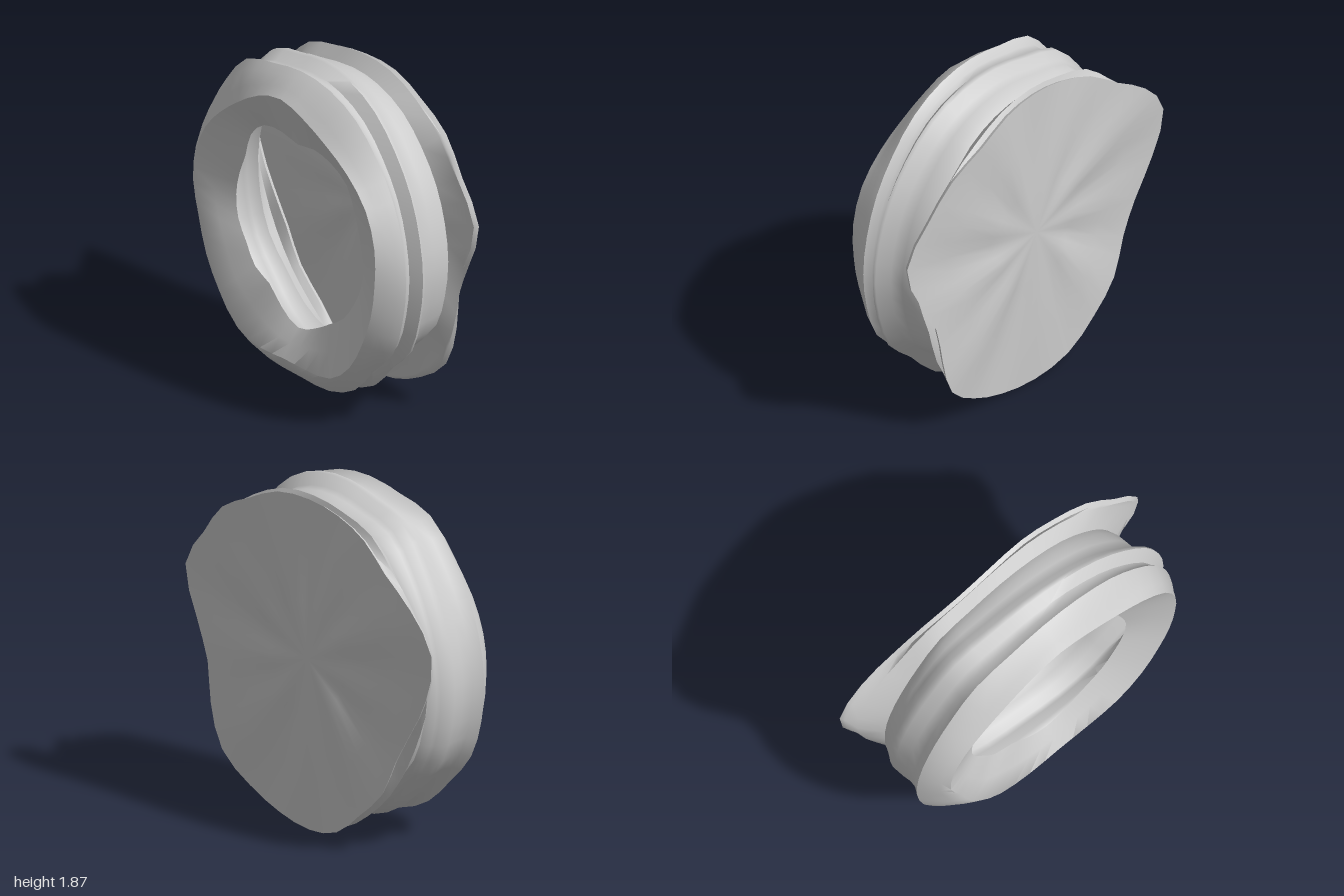
import * as THREE from 'three';
import { toCreasedNormals } from 'three/addons/utils/BufferGeometryUtils.js';

const SEGMENTS = 48;
const CENTRE_Y = 0.95;

// Outline radii every 15 degrees, counter-clockwise from +x
const FLANGE = [.90, 1.03, .97, .95, .90, .90, .88, .87, .88, .89, .97, 1.03, .93, .83, .80, .85, .87, .93, .95, .95, .95, .95, .87, .82];
const SHOULDER = [.88, .88, .89, .90, .92, .92, .91, .90, .93, .89, .87, .87, .88, .89, .90, .88, .90, .90, .88, .90, .90, .86, .89, .88];
const RIM = [.79, .82, .83, .80, .77, .77, .79, .76, .73, .73, .75, .76, .75, .71, .73, .77, .80, .77, .73, .75, .80, .80, .78, .78];
const LIP = [.55, .54, .55, .58, .56, .53, .49, .53, .57, .56, .51, .51, .52, .52, .50, .51, .48, .53, .58, .55, .53, .54, .54, .55];

// Smooth periodic lookup of an outline
function radius(outline, a) {
  const n = outline.length;
  const t = (a / (Math.PI * 2)) * n;
  const i = Math.floor(t), f = t - i;
  const p = k => outline[(i + k + n) % n];
  const [a0, b, c, d] = [p(-1), p(0), p(1), p(2)];
  return b + 0.5 * f * (c - a0 + f * (2 * a0 - 5 * b + 4 * c - d + f * (3 * (b - c) + d - a0)));
}

// Ring point for a radius and z, each a function of the angle
const ring = (r, z) => a => [Math.cos(a) * r(a), CENTRE_Y + Math.sin(a) * r(a), z(a)];
const scaled = (outline, s) => a => radius(outline, a) * s;
const mixed = (from, to, t) => a => radius(from, a) * (1 - t) + radius(to, a) * t;
const wave = (z, amount, phase = 0) => a => z + amount * Math.cos(a - phase);

// Skin over consecutive rings, running outward from back to front
function loft(rings, name) {
  const positions = [], index = [];
  for (const point of rings) {
    for (let j = 0; j < SEGMENTS; j++) positions.push(...point((j / SEGMENTS) * Math.PI * 2));
  }
  for (let i = 0; i < rings.length - 1; i++) {
    for (let j = 0; j < SEGMENTS; j++) {
      const k = (j + 1) % SEGMENTS;
      const a = i * SEGMENTS + j, b = i * SEGMENTS + k;
      const c = a + SEGMENTS, d = b + SEGMENTS;
      index.push(a, b, d, a, d, c);
    }
  }
  const geometry = new THREE.BufferGeometry();
  geometry.setAttribute('position', new THREE.Float32BufferAttribute(positions, 3));
  geometry.setIndex(index);
  const mesh = new THREE.Mesh(
    toCreasedNormals(geometry, 0.95),
    new THREE.MeshStandardMaterial({ color: 0xcccccc, side: THREE.DoubleSide })
  );
  mesh.name = name;
  return mesh;
}

// Wavy back edge and the folds running out to it
const edgeZ = a => -0.275 + 0.03 * Math.cos(a) - 0.02 * Math.sin(4 * a - 2.62);
const plateZ = t => a => -0.28 * (1 - t) + edgeZ(a) * t + 0.04 * t * (1 - t) * Math.sin(9 * a);

export function createModel() {
  const group = new THREE.Group();
  group.name = 'wornWheel';

  // Folded disc closing the back, also seen through the front opening
  group.add(loft([0, 0.35, 0.7, 1].map(t => ring(scaled(FLANGE, t), plateZ(t))), 'backPlate'));

  // Thin flange flaring out to the plate's edge
  group.add(loft([
    ring(scaled(FLANGE, 1), edgeZ),
    ring(scaled(FLANGE, 0.985), a => edgeZ(a) + 0.022),
    ring(mixed(FLANGE, SHOULDER, 0.5), a => edgeZ(a) * 0.5 - 0.1),
    ring(scaled(SHOULDER, 0.91), wave(-0.175, 0))
  ], 'backFlange'));

  // Wall with one main ridge that wanders from front to back
  group.add(loft([
    ring(scaled(SHOULDER, 0.91), wave(-0.175, 0)),
    ring(scaled(SHOULDER, 0.935), wave(-0.135, 0.015)),
    ring(scaled(SHOULDER, 0.945), wave(-0.09, 0.035)),
    ring(scaled(SHOULDER, 0.955), wave(-0.045, 0.06)),
    ring(a => radius(SHOULDER, a) * (1.005 + 0.025 * Math.cos(a - 0.3)), wave(0.0, 0.065)),
    ring(a => radius(SHOULDER, a) * (1.005 + 0.03 * Math.cos(a - 0.3)), wave(0.03, 0.05)),
    ring(scaled(SHOULDER, 0.96), wave(0.085, 0.035)),
    ring(scaled(SHOULDER, 0.965), wave(0.125, 0.012)),
    ring(scaled(SHOULDER, 1), wave(0.17, 0))
  ], 'ridgedWall'));

  // Front rim sloping in to an open lip
  group.add(loft([
    ring(scaled(SHOULDER, 1), wave(0.17, 0)),
    ring(mixed(SHOULDER, RIM, 0.25), wave(0.215, 0)),
    ring(mixed(SHOULDER, RIM, 0.65), wave(0.265, 0)),
    ring(scaled(RIM, 1), wave(0.302, 0.012, 0.8)),
    ring(mixed(RIM, LIP, 0.5), wave(0.25, 0)),
    ring(scaled(LIP, 1), wave(0.195, 0))
  ], 'frontRim'));

  return group;
}
